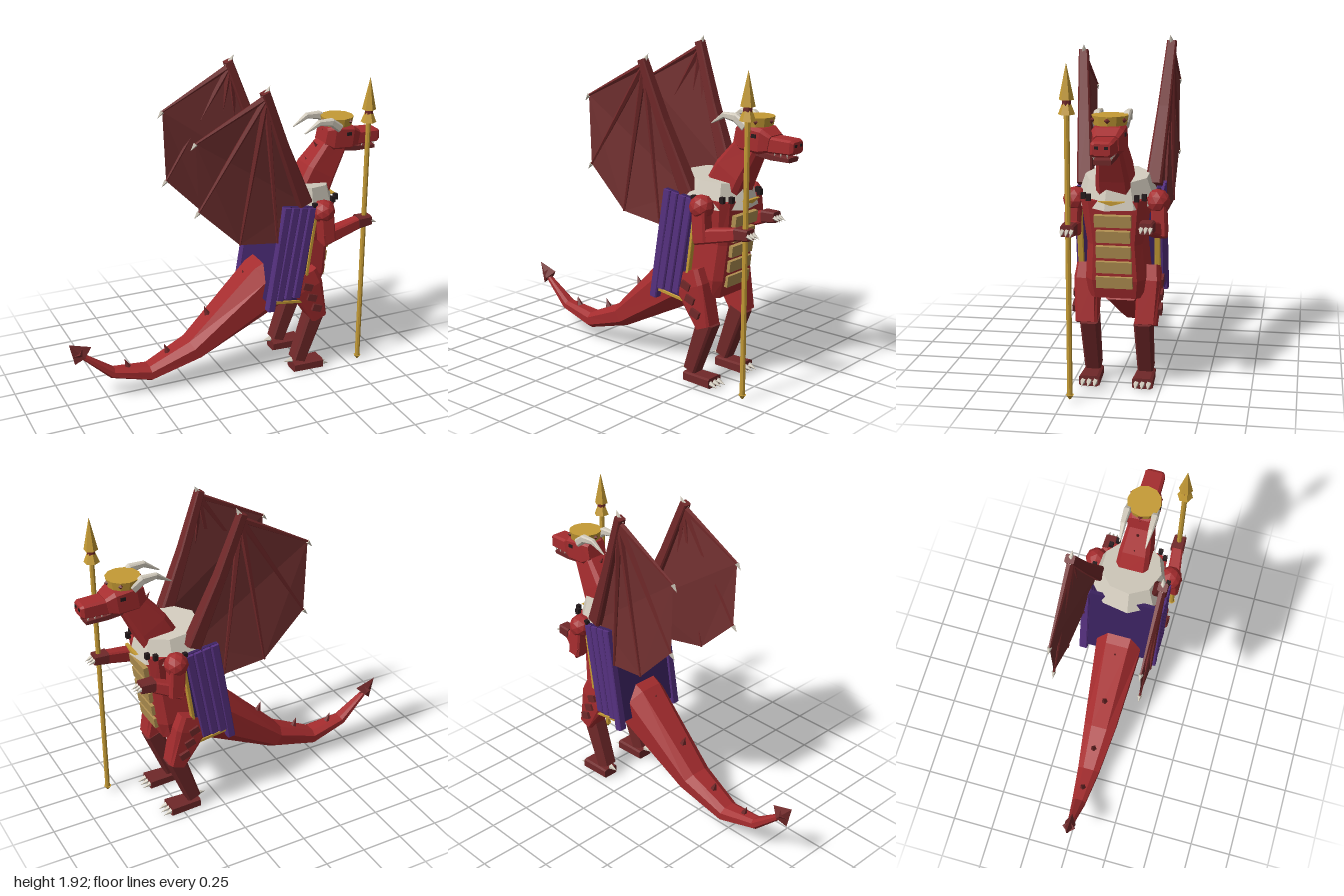
import * as THREE from 'three';

const mat = (name, color, side = THREE.FrontSide) => {
  const m = new THREE.MeshStandardMaterial({ color, side });
  m.name = name;
  return m;
};

export function createModel() {
  const model = new THREE.Group();
  model.name = 'dragon';
  const red = mat('scale red', 0xa52c2e), dark = mat('dark red', 0x702829);
  const membraneRed = mat('membrane red', 0x713030, THREE.DoubleSide);
  const purple = mat('cape purple', 0x55307f), fold = mat('fold purple', 0x3b2260);
  const gold = mat('gold', 0xc59b35), tan = mat('belly tan', 0xb08f50);
  const bone = mat('bone', 0xd2cbbd), black = mat('near black', 0x241a1c);
  const V = (p) => new THREE.Vector3(...p);

  // Every surface is faceted
  const add = (name, geo, material, parent = model) => {
    const g = geo.index ? geo.toNonIndexed() : geo;
    g.computeVertexNormals();
    const mesh = new THREE.Mesh(g, material);
    mesh.name = name;
    parent.add(mesh);
    return mesh;
  };
  const group = (name) => {
    const g = new THREE.Group();
    g.name = name;
    model.add(g);
    return g;
  };

  // Chamfered bar through sections [x, y, z, half size in the xy plane, half size in z]
  const loft = (sections, bevel = 0.25) => {
    const k = 1 - bevel, pos = [], idx = [], n = sections.length;
    const outline = [[1, -k], [1, k], [k, 1], [-k, 1], [-1, k], [-1, -k], [-k, -1], [k, -1]];
    sections.forEach(([x, y, z, a, b], i) => {
      const p = sections[Math.max(i - 1, 0)], q = sections[Math.min(i + 1, n - 1)];
      const len = Math.hypot(q[0] - p[0], q[1] - p[1]);
      const nx = -(q[1] - p[1]) / len, ny = (q[0] - p[0]) / len;
      for (const [u, w] of outline) pos.push(x + nx * a * u, y + ny * a * u, z + b * w);
    });
    for (let i = 0; i < n - 1; i++) for (let j = 0; j < 8; j++) {
      const a = i * 8 + j, b = i * 8 + (j + 1) % 8;
      idx.push(a, b, b + 8, a, b + 8, a + 8);
    }
    const e = (n - 1) * 8;
    for (let j = 1; j < 7; j++) idx.push(0, j + 1, j, e, e + j, e + j + 1);
    const g = new THREE.BufferGeometry();
    g.setAttribute('position', new THREE.Float32BufferAttribute(pos, 3));
    g.setIndex(idx);
    return g;
  };

  // Tapered rod or spike between two points
  const rod = (from, to, r0, r1 = 0, sides = 6) => {
    const a = V(from), b = V(to), d = b.clone().sub(a);
    const g = new THREE.CylinderGeometry(r1, r0, d.length(), sides);
    g.applyQuaternion(new THREE.Quaternion().setFromUnitVectors(V([0, 1, 0]), d.normalize()));
    return g.translate(...a.add(b).multiplyScalar(0.5).toArray());
  };
  const box = (w, h, d, x, y, z, angle = 0) =>
    new THREE.BoxGeometry(w, h, d).rotateZ(angle).translate(x, y, z);

  // Torso, belly plates and tail
  add('torso', loft([[0.45, 0.52, 0, 0.13, 0.15], [0.45, 0.64, 0, 0.16, 0.165],
    [0.48, 0.85, 0, 0.15, 0.15], [0.51, 1.1, 0, 0.15, 0.18]]), red);
  for (let i = 0; i < 5; i++)
    add('bellyPlate', box(0.04, 0.065, 0.2 - (i > 3 ? 0 : 0.005 * i), 0.605 + i * 0.0125, 0.62 + i * 0.088, 0, -0.12), tan);
  add('tail', loft([[0.34, 0.6, 0, 0.16, 0.15], [0.26, 0.56, 0, 0.16, 0.14], [-0.21, 0.22, 0, 0.07, 0.1],
    [-0.49, 0.115, 0, 0.047, 0.068], [-0.72, 0.16, 0, 0.03, 0.042], [-0.89, 0.3, 0, 0.015, 0.018]], 0.5), red);
  const tip = new THREE.ConeGeometry(0.07, 0.12, 4).scale(1, 1, 0.5).translate(0, 0.08, 0);
  add('tailTip', tip.rotateZ(0.75).translate(-0.876, 0.29, 0), dark);
  add('tailTipBase', rod([-0.92, 0.335, 0], [-0.87, 0.28, 0], 0.04, 0.012, 4), dark);
  for (const [x, y] of [[-0.62, 0.175], [-0.37, 0.22], [-0.11, 0.42], [0.14, 0.61]])
    add('tailSpine', rod([x, y, 0], [x - 0.02, y + 0.055, 0], 0.02, 0, 5), dark);

  // Neck and head
  add('neck', loft([[0.53, 1.1, 0, 0.11, 0.1], [0.6, 1.24, 0, 0.1, 0.09], [0.72, 1.42, 0, 0.07, 0.065]]), red);
  for (const [x, y] of [[0.53, 1.28], [0.585, 1.37], [0.64, 1.44]])
    add('neckSpine', rod([x + 0.035, y - 0.02, 0], [x - 0.01, y + 0.05, 0], 0.02, 0, 5), dark);
  add('skull', loft([[0.63, 1.45, 0, 0.05, 0.065], [0.68, 1.44, 0, 0.075, 0.085],
    [0.8, 1.43, 0, 0.07, 0.085], [0.85, 1.42, 0, 0.045, 0.065]]), red);
  add('snout', loft([[0.82, 1.415, 0, 0.045, 0.06], [0.98, 1.415, 0, 0.04, 0.058], [0.997, 1.415, 0, 0.03, 0.045]]), red);
  add('lowerJaw', loft([[0.74, 1.37, 0, 0.025, 0.055], [0.85, 1.35, 0, 0.018, 0.05], [0.97, 1.345, 0, 0.013, 0.045]]), dark);
  for (const s of [1, -1]) {
    add('eye', box(0.03, 0.02, 0.008, 0.77, 1.46, s * 0.086), black);
    add('nostril', box(0.008, 0.015, 0.02, 0.997, 1.425, s * 0.025), black);
    for (const x of [0.88, 0.92, 0.96]) add('tooth', rod([x, 1.38, s * 0.045], [x, 1.355, s * 0.045], 0.008, 0, 4), bone);
    add('horn', loft([[0.71, 1.5, s * 0.075, 0.026, 0.02], [0.65, 1.545, s * 0.08, 0.024, 0.02],
      [0.57, 1.55, s * 0.08, 0.016, 0.015], [0.48, 1.495, s * 0.075, 0.003, 0.003]], 0.4), bone);
  }
  add('crown', new THREE.CylinderGeometry(0.098, 0.088, 0.05, 12).translate(0.73, 1.53, 0), gold);
  for (let i = 0; i < 6; i++) {
    const a = i * Math.PI / 3;
    add('crownGem', new THREE.OctahedronGeometry(0.016).translate(0.73 + 0.093 * Math.cos(a), 1.535, 0.093 * Math.sin(a)), dark);
  }

  // Collar with studs and a clasp
  const collar = new THREE.CylinderGeometry(0.19, 0.245, 0.14, 9).scale(0.95, 1, 0.94).rotateZ(-0.1);
  add('collar', collar.translate(0.475, 1.125, 0), bone);
  for (const s of [1, -1]) for (const [x, z] of [[0.685, 0.13], [0.65, 0.165], [0.5, 0.225]])
    add('collarStud', box(0.025, 0.035, 0.025, x - 0.02, 1.1, s * z), black);
  add('collarClasp', new THREE.CylinderGeometry(0.06, 0.06, 0.02, 3).scale(1, 1, 0.5)
    .rotateX(Math.PI / 2).rotateY(Math.PI / 2).scale(1, 0.5, 1.4).translate(0.7, 1.08, 0), gold);

  // Cape: back sheet, and a folded panel with gold trim on each side
  add('capeBack', loft([[0.205, 0.52, 0, 0.012, 0.21], [0.3, 1.12, 0, 0.012, 0.2]], 0.05), fold);
  for (const s of [1, -1]) {
    const cape = group('capeSide');
    const shape = new THREE.Shape([[0.28, 1.125], [0.49, 1.095], [0.41, 0.5], [0.19, 0.53]].map((p) => new THREE.Vector2(...p)));
    const panel = new THREE.ExtrudeGeometry(shape, { depth: 0.02, bevelEnabled: false });
    add('capePanel', panel.translate(0, 0, s * 0.215 - 0.01), fold, cape);
    for (let i = 0; i < 4; i++) {
      const low = i ? 0.54 : 0.48, x = 0.2 + i * 0.055;
      add('capeFold', loft([[x, low, s * 0.222, 0.024, 0.026], [0.3 + i * 0.053, 1.12 - i * 0.008, s * 0.222, 0.024, 0.022]]), purple, cape);
    }
    add('capeFrontTrim', loft([[0.415, 0.5, s * 0.215, 0.01, 0.016], [0.495, 1.09, s * 0.215, 0.01, 0.016]]), gold, cape);
    add('capeHemTrim', loft([[0.23, 0.525, s * 0.215, 0.01, 0.016], [0.415, 0.5, s * 0.215, 0.01, 0.016]]), gold, cape);
  }

  // Legs
  for (const s of [1, -1]) {
    const leg = group('leg');
    add('thigh', loft([[0.42, 0.67, s * 0.175, 0.09, 0.055], [0.45, 0.58, s * 0.175, 0.1, 0.065],
      [0.54, 0.36, s * 0.165, 0.05, 0.06]]), red, leg);
    add('shin', loft([[0.535, 0.385, s * 0.15, 0.055, 0.05], [0.425, 0.075, s * 0.15, 0.042, 0.045]]), dark, leg);
    add('foot', loft([[0.39, 0.03, s * 0.15, 0.028, 0.05], [0.58, 0.03, s * 0.15, 0.03, 0.058]]), dark, leg);
    for (const dz of [-0.035, 0, 0.035])
      add('toeClaw', rod([0.575, 0.03, s * 0.15 + dz], [0.63, 0.012, s * 0.15 + dz], 0.017, 0, 5), bone, leg);
    add('heelSpur', rod([0.39, 0.07, s * 0.15], [0.335, 0.065, s * 0.15], 0.018, 0, 5), bone, leg);
    for (const [x, y] of [[0.44, 0.595], [0.47, 0.52], [0.505, 0.445]])
      add('thighScale', box(0.06, 0.042, 0.03, x, y, s * 0.235, -0.35), dark, leg);
  }

  // Arms: the left one reaches further forward to hold the spear
  for (const [s, hx, hz] of [[1, 0.82, 0.21], [-1, 0.71, -0.19]]) {
    const arm = group('arm');
    add('shoulder', new THREE.IcosahedronGeometry(0.07, 1).translate(0.535, 1.06, s * 0.225), red, arm);
    add('upperArm', loft([[0.54, 1.05, s * 0.235, 0.045, 0.04], [0.555, 0.88, s * 0.24, 0.045, 0.042]]), red, arm);
    add('forearm', loft([[0.52, 0.895, s * 0.24, 0.042, 0.042], [hx - 0.03, 0.95, hz, 0.033, 0.032]]), red, arm);
    add('hand', loft([[hx - 0.05, 0.95, hz, 0.035, 0.04], [hx + 0.035, 0.955, hz, 0.03, 0.036]]), dark, arm);
    for (const dz of [-0.025, 0, 0.025])
      add('fingerClaw', rod([hx + 0.03, 0.955, hz + dz], [hx + 0.075, 0.935, hz + dz], 0.014, 0, 5), bone, arm);
  }

  // Spear
  const spear = group('spear');
  const spearPart = (name, y0, y1, r0, r1, m, sides = 8) =>
    add(name, rod([0.82, y0, 0.21], [0.82, y1, 0.21], r0, r1, sides), m, spear);
  spearPart('shaft', 0.04, 1.6, 0.015, 0.015, gold);
  spearPart('shaftFoot', 0.04, 0.015, 0.022, 0.004, gold);
  spearPart('headSkirt', 1.565, 1.63, 0.045, 0.02, gold, 6);
  spearPart('headBand', 1.61, 1.645, 0.024, 0.024, dark);
  spearPart('spearHead', 1.64, 1.83, 0.04, 0, gold, 6);

  // Wings: the right one is raised slightly higher
  for (const [s, lift] of [[1, 0], [-1, 0.055]]) {
    const wing = group('wing');
    const at = ([x, y]) => [x, y + lift * Math.max(0, (y - 0.95) / 0.85),
      s * (0.25 - 0.06 * THREE.MathUtils.clamp((x - 0.14) / 0.28, 0, 1))];
    const root = [0.42, 1.12], wrist = [0.145, 1.8];
    const ends = [[-0.275, 1.59], [-0.26, 1.19], [-0.01, 0.95], [0.24, 0.91]];
    const skin = new THREE.ShapeGeometry(new THREE.Shape([root, wrist, ...ends].map((p) => new THREE.Vector2(...p))));
    const p = skin.attributes.position;
    for (let i = 0; i < p.count; i++) p.setXYZ(i, ...at([p.getX(i), p.getY(i)]));
    add('membrane', skin, membraneRed, wing);
    add('wingArm', loft([[...at(root), 0.045, 0.045], [...at([0.26, 1.5]), 0.03, 0.035], [...at([0.135, 1.83]), 0.024, 0.026]]), dark, wing);
    ends.forEach((e, i) => {
      add('wingFinger', rod(at(wrist), at(e), 0.02, 0.007, 5), dark, wing);
      if (i < 2) add('fingerTip', rod(at(e), at([e[0] - 0.03, e[1] - 0.035]), 0.014, 0, 5), bone, wing);
    });
    add('wristClaw', rod(at([0.135, 1.8]), at([0.17, 1.865]), 0.026, 0, 5), bone, wing);
  }
  return model;
}
